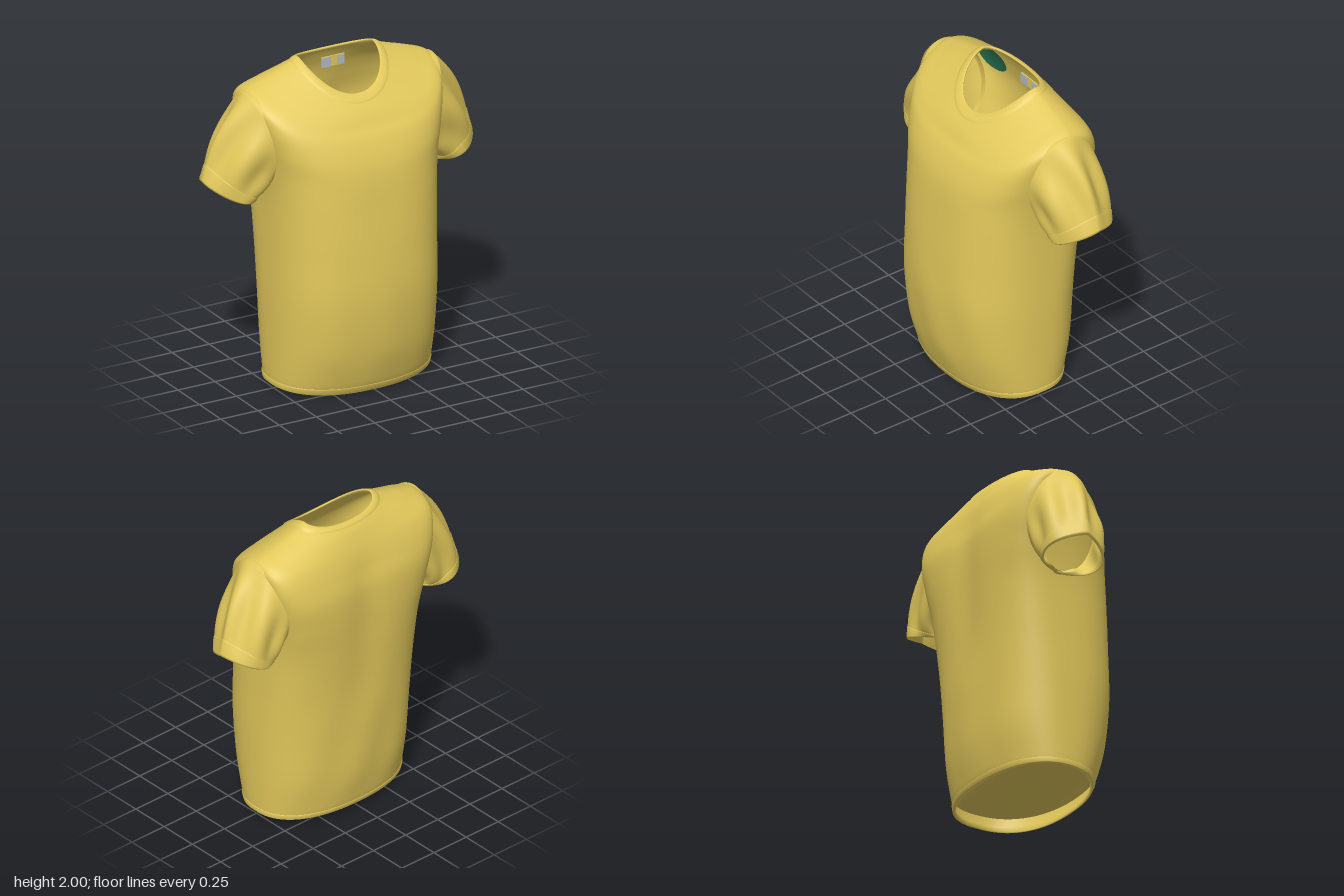
import * as THREE from 'three';

const TAU = Math.PI * 2;
const fabric = new THREE.MeshStandardMaterial({ name: 'yellow fabric', color: 0xe2c85b, side: THREE.DoubleSide });
const grey = new THREE.MeshStandardMaterial({ name: 'label grey', color: 0xb4babf, side: THREE.DoubleSide });
const green = new THREE.MeshStandardMaterial({ name: 'print green', color: 0x24694a, side: THREE.DoubleSide });

// Torso rings: half width, side y, front y, back y, front z, back z, side z, front squareness, back squareness
const TORSO = [
  [0.515, 0.03, 0.00, 0.03, 0.31, -0.33, -0.02, 2.3, 2.3],
  [0.52, 0.10, 0.09, 0.10, 0.35, -0.35, -0.02, 2.3, 2.3],
  [0.525, 0.30, 0.30, 0.30, 0.405, -0.38, -0.03, 2.4, 2.4],
  [0.53, 0.60, 0.60, 0.60, 0.435, -0.395, -0.04, 2.5, 2.5],
  [0.53, 0.90, 0.90, 0.90, 0.425, -0.405, -0.06, 2.6, 2.8],
  [0.535, 1.20, 1.18, 1.20, 0.40, -0.425, -0.09, 2.8, 3.2],
  [0.555, 1.40, 1.36, 1.42, 0.38, -0.435, -0.11, 2.8, 4.0],
  [0.59, 1.60, 1.47, 1.58, 0.355, -0.43, -0.12, 2.8, 4.6],
  [0.622, 1.78, 1.58, 1.70, 0.31, -0.40, -0.12, 2.7, 4.6],
  [0.612, 1.862, 1.65, 1.79, 0.265, -0.368, -0.13, 2.6, 3.8],
  [0.50, 1.908, 1.70, 1.86, 0.235, -0.335, -0.14, 2.4, 2.8],
  [0.38, 1.947, 1.735, 1.91, 0.21, -0.31, -0.14, 2.2, 2.3],
  [0.30, 1.975, 1.77, 1.94, 0.18, -0.288, -0.14, 2.1, 2.2],
];

// Collar band: seam, outside, rim, then turned down inside
const COLLAR = [
  [0.304, 1.972, 1.766, 1.938, 0.182, -0.289, -0.14, 2.1, 2.2],
  [0.292, 1.984, 1.781, 1.95, 0.174, -0.283, -0.14, 2.1, 2.2],
  [0.272, 1.996, 1.80, 1.96, 0.153, -0.27, -0.14, 2.1, 2.2],
  [0.254, 2.00, 1.815, 1.962, 0.132, -0.255, -0.14, 2.1, 2.2],
  [0.252, 1.99, 1.808, 1.953, 0.126, -0.253, -0.14, 2.1, 2.2],
  [0.265, 1.972, 1.79, 1.94, 0.138, -0.263, -0.14, 2.1, 2.2],
];

// Smooth interpolation through a table of rings
function sample(table, v) {
  const last = table.length - 1;
  const i = Math.min(Math.floor(v), last - 1), t = v - i;
  const row = (k) => table[THREE.MathUtils.clamp(k, 0, last)];
  return row(i).map((b, c) => {
    const a = row(i - 1)[c], d = row(i + 1)[c], e = row(i + 2)[c];
    return b + 0.5 * t * (d - a + t * (2 * a - 5 * b + 4 * d - e + t * (3 * (b - d) + e - a)));
  });
}

// Point on a rounded ring with separate front and back shapes
function ringPoint(table, v, angle, offset = 0) {
  const [w, ys, yf, yb, zf, zb, zs, nf, nb] = sample(table, v);
  const c = Math.cos(angle), s = Math.sin(angle), front = s > 0;
  const n = front ? nf : nb;
  const r = (Math.abs(c) ** n + Math.abs(s) ** n) ** (-1 / n);
  const depth = Math.abs(r * s);
  const reach = (front ? zf : zb) - zs + (front ? offset : -offset);
  return new THREE.Vector3(
    (w + offset) * r * c,
    THREE.MathUtils.lerp(ys, front ? yf : yb, depth ** 1.45),
    zs + reach * depth);
}

// Torso surface with a shallow spine hollow and soft drape
function torsoPoint(v, angle, offset = 0) {
  const p = ringPoint(TORSO, v, angle, offset);
  const s = Math.sin(angle);
  const upper = THREE.MathUtils.smoothstep(p.y, 0.5, 1.4) * (1 - THREE.MathUtils.smoothstep(p.y, 1.6, 1.88));
  if (s < 0) p.z += 0.025 * -s * upper * Math.exp(-((p.x / 0.15) ** 2));
  const low = THREE.MathUtils.smoothstep(p.y, 0.05, 0.3) * (1 - THREE.MathUtils.smoothstep(p.y, 0.4, 1.1));
  p.z += 0.005 * s * low * Math.sin(p.x * 17 + p.y * 3);
  return p;
}

// Closed loops joined into one smooth surface
function loft(rows, cols, point) {
  const pos = [], index = [];
  for (let i = 0; i <= rows; i++) {
    for (let j = 0; j < cols; j++) {
      const p = point(i / rows, (j / cols) * TAU);
      pos.push(p.x, p.y, p.z);
      if (i === rows) continue;
      const a = i * cols + j, b = i * cols + (j + 1) % cols, c = a + cols, d = b + cols;
      index.push(a, c, b, b, c, d);
    }
  }
  const geo = new THREE.BufferGeometry();
  geo.setAttribute('position', new THREE.Float32BufferAttribute(pos, 3));
  geo.setIndex(index);
  geo.computeVertexNormals();
  return geo;
}

// Sleeve surface: t = 0 at the armhole, t = 1 at the opening; angle 0 is the top
function sleevePoint(side, t, angle, offset = 0) {
  const c = Math.cos(angle), s = Math.sin(angle);
  const pinch = Math.sign(s) * Math.abs(s) ** 1.4;
  const root = new THREE.Vector3(0.59 + 0.04 * c - 0.04 * s * s, 1.555 + 0.305 * c, -0.11 + 0.23 * s);
  const cuff = new THREE.Vector3(0.73 + 0.172 * c, 1.285 + 0.055 * c - 0.035 * Math.abs(pinch) - 0.015 * s, -0.135 + 0.19 * pinch);
  const p = root.lerp(cuff, t);
  const swell = Math.sin(Math.PI * t);
  const fold = swell * 0.018 * Math.sin(6 * angle + 0.4 + 2 * t) + offset;
  const top = Math.max(c, 0);
  p.x += swell * (0.022 * top + 0.02 * s * s) + fold * c;
  p.y += swell * 0.022 * top + fold * c * 0.6;
  p.z += fold * s;
  p.x *= side;
  return p;
}

// Band that follows a list of [position along surface, offset] points
function band(profile, cols, point) {
  return loft(profile.length - 1, cols, (u, a) => {
    const [v, off] = profile[Math.round(u * (profile.length - 1))];
    return point(v, a, off);
  });
}

export function createModel() {
  const shirt = new THREE.Group();
  shirt.name = 'tShirt';
  const add = (name, geo, mat) => {
    const mesh = new THREE.Mesh(geo, mat);
    mesh.name = name;
    shirt.add(mesh);
    return mesh;
  };

  // Torso, and the shallow bowl that closes it just inside the hem
  add('torso', loft(96, 128, (u, a) => torsoPoint(u * (TORSO.length - 1), a)), fabric);
  add('innerFloor', loft(16, 96, (u, a) => {
    const p = torsoPoint(1.1, a, -0.008);
    return new THREE.Vector3(p.x * u, THREE.MathUtils.lerp(0.035, p.y, u * u), p.z * u);
  }), fabric);

  // Hem and neck bands
  add('hem', band([[0.66, -0.001], [0.6, 0.005], [0.1, 0.006], [0, 0.002], [0, -0.012], [0.6, -0.012]], 128, torsoPoint), fabric);
  add('collar', loft(20, 96, (u, a) => ringPoint(COLLAR, u * (COLLAR.length - 1), a)), fabric);

  // Sleeves and cuffs, tucked a little into the torso
  for (const side of [1, -1]) {
    const name = side > 0 ? 'left' : 'right';
    add(name + 'Sleeve', loft(28, 84, (u, a) => {
      const p = sleevePoint(side, Math.max(0, (u - 0.04) / 0.96), a);
      if (u === 0) p.x -= side * 0.04;
      return p;
    }), fabric);
    add(name + 'Cuff', band([[0.83, -0.001], [0.85, 0.004], [0.98, 0.004], [1, 0.002], [1, -0.01], [0.85, -0.01]], 84,
      (t, a, off) => sleevePoint(side, t, a, off)), fabric);
  }

  // Neck label with two grey plates
  add('label', new THREE.BoxGeometry(0.155, 0.066, 0.006), fabric).position.set(0.047, 1.868, -0.256);
  for (const [x, w] of [[0, 0.062], [0.101, 0.046]]) {
    add('labelPlate', new THREE.BoxGeometry(w, 0.062, 0.006), grey).position.set(x, 1.867, -0.251);
  }

  // Round patches on the inside of the fabric
  for (const [v, angle] of [[8.0, 4.0], [10.4, 0.77]]) {
    add('insidePatch', loft(6, 28, (u, a) =>
      torsoPoint(v + 0.8 * u * Math.cos(a), angle + 0.16 * u * Math.sin(a), -0.008)), green);
  }
  return shirt;
}
